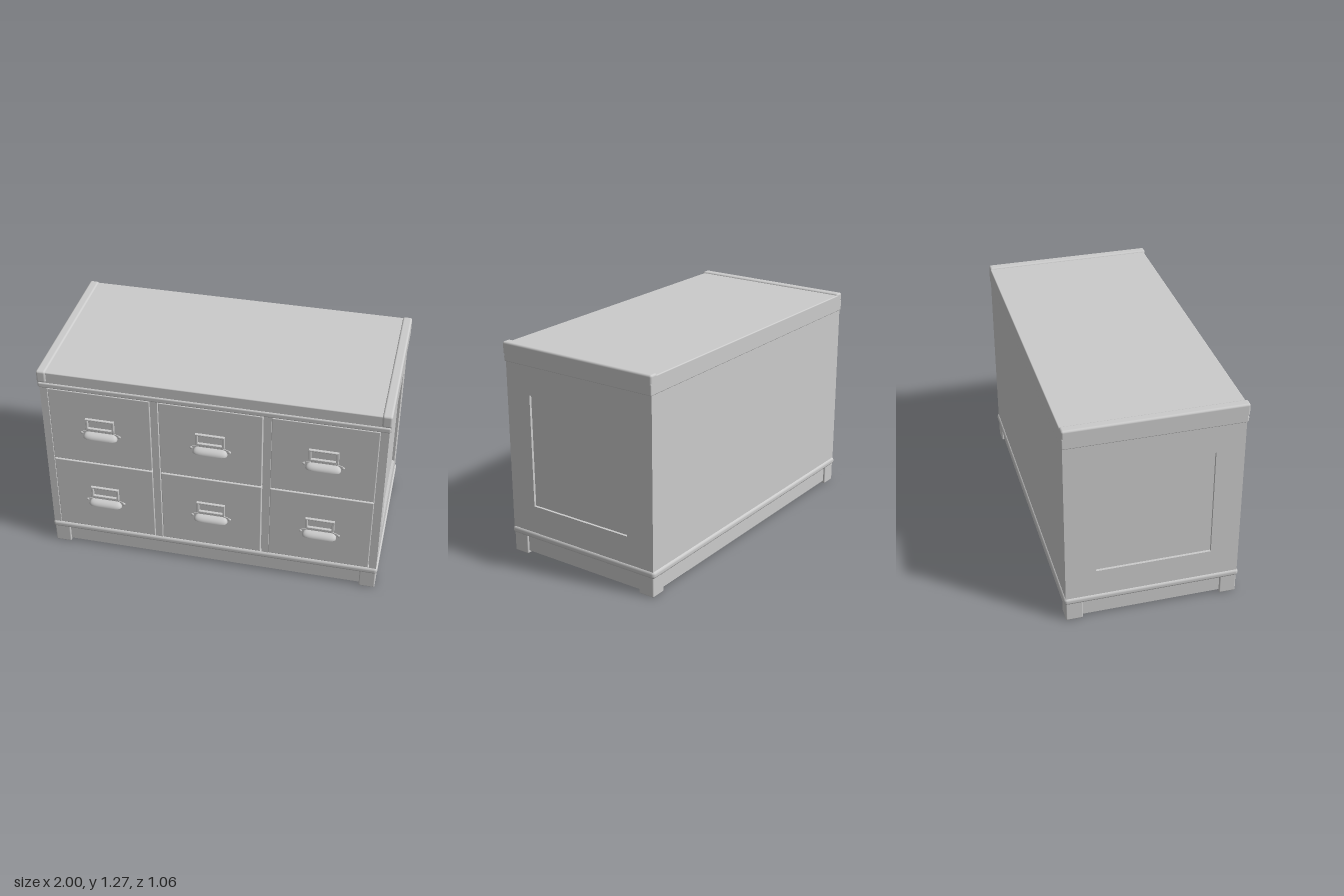
import * as THREE from 'three';
import { RoundedBoxGeometry } from 'three/addons/geometries/RoundedBoxGeometry.js';
import { ParametricGeometry } from 'three/addons/geometries/ParametricGeometry.js';

const grey = new THREE.MeshStandardMaterial({ color: 0xcccccc });
const thin = new THREE.MeshStandardMaterial({ color: 0xcccccc, side: THREE.DoubleSide });

function add(parent, name, geometry, material = grey) {
  const mesh = new THREE.Mesh(geometry, material);
  mesh.name = name;
  parent.add(mesh);
  return mesh;
}

// Box given by its extents, with optional rounded edges
function box(parent, name, [x0, x1], [y0, y1], [z0, z1], r = 0) {
  const size = [x1 - x0, y1 - y0, z1 - z0];
  const geometry = r ? new RoundedBoxGeometry(...size, 3, r) : new THREE.BoxGeometry(...size);
  const mesh = add(parent, name, geometry);
  mesh.position.set((x0 + x1) / 2, (y0 + y1) / 2, (z0 + z1) / 2);
  return mesh;
}

function rectangle(Type, x0, x1, y0, y1) {
  return new Type([[x0, y0], [x1, y0], [x1, y1], [x0, y1]].map(p => new THREE.Vector2(...p)));
}

// Label frame, back plate, cup pull and screws; origin at the middle of the pull's lower edge
function createHandle() {
  const handle = new THREE.Group();
  handle.name = 'handle';

  const half = [[0.085, 0.12], [0.085, 0.055], [0.07, 0.04], [0.105, 0.03], [0.12, 0.022], [0.118, 0.01], [0.1, 0]];
  const outline = [...half, ...half.map(([x, y]) => [-x, y]).reverse()];
  const plate = new THREE.Shape(outline.map(p => new THREE.Vector2(...p)));
  const hole = rectangle(THREE.Path, -0.07, 0.07, 0.062, 0.114);
  plate.holes.push(hole);
  add(handle, 'backPlate', new THREE.ExtrudeGeometry(plate, { depth: 0.004, bevelEnabled: false }));

  const frame = rectangle(THREE.Shape, -0.085, 0.085, 0.047, 0.125);
  frame.holes.push(hole);
  add(handle, 'labelFrame', new THREE.ExtrudeGeometry(frame, {
    depth: 0.011, bevelThickness: 0.004, bevelSize: 0.003, bevelOffset: -0.003, bevelSegments: 2,
  }));

  // Hollow cup, open below, closing against the drawer at its top
  const cup = new ParametricGeometry((u, v, p) => {
    const a = u * Math.PI, b = v * Math.PI / 2;
    const c = Math.cos(a);
    p.set(
      -Math.sign(c) * Math.abs(c) ** 0.5 * (0.07 + 0.03 * Math.cos(b)),
      0.033 * Math.sin(b),
      0.041 * Math.cos(b) * Math.max(0, Math.sin(a)) ** 0.5,
    );
  }, 32, 10);
  add(handle, 'cupPull', cup, thin);

  for (const s of [-1, 1]) {
    const screw = add(handle, 'screw', new THREE.SphereGeometry(0.009, 12, 8));
    screw.position.set(s * 0.111, 0.019, 0.004);
    screw.scale.z = 0.6;
  }
  return handle;
}

export function createModel() {
  const model = new THREE.Group();
  model.name = 'drawerChest';

  // Carcass: the core also forms the recessed side panels and the back
  box(model, 'carcass', [-0.975, 0.975], [0.135, 1.17], [-0.518, 0.46]);
  box(model, 'back', [-0.96, 0.96], [0.15, 1.17], [-0.52, -0.5]);

  // Side frames with a sunken field
  for (const s of [-1, 1]) {
    const side = rectangle(THREE.Shape, -0.483, 0.52, 0.15, 1.165);
    side.holes.push(rectangle(THREE.Path, -0.32, 0.345, 0.32, 0.99));
    const mesh = add(model, 'sideFrame', new THREE.ExtrudeGeometry(side, { depth: 0.043, bevelEnabled: false }));
    mesh.rotation.y = Math.PI / 2;
    mesh.position.x = s > 0 ? 0.947 : -0.99;
  }

  // Dividers between the drawer columns
  for (const x of [-0.325, 0.325])
    box(model, 'divider', [x - 0.021, x + 0.021], [0.15, 1.165], [0.44, 0.483]);

  // Drawers with their handles
  for (const x of [-0.645, 0, 0.645]) {
    for (const y of [0.16, 0.663]) {
      const drawer = new THREE.Group();
      drawer.name = 'drawer';
      box(drawer, 'drawerFront', [x - 0.297, x + 0.297], [y, y + 0.495], [0.43, 0.489], 0.004);
      const handle = createHandle();
      handle.position.set(x, y + 0.198, 0.489);
      drawer.add(handle);
      model.add(drawer);
    }
  }

  // Top board, front lip and raised end caps
  box(model, 'topBoard', [-0.96, 0.96], [1.16, 1.263], [-0.525, 0.486], 0.006);
  box(model, 'frontLip', [-0.997, 0.997], [1.16, 1.195], [0.43, 0.493], 0.01);
  for (const s of [-1, 1]) {
    const x = [s * 0.945, s].sort((a, b) => a - b);
    box(model, 'endCap', x, [1.197, 1.272], [-0.525, 0.495], 0.012);
    box(model, 'endCapLower', x, [1.16, 1.225], [-0.525, 0.486], 0.006);
  }

  // Rounded base moulding, open in the middle
  for (const s of [-1, 1]) {
    const x = [s * 0.92, s * 0.998].sort((a, b) => a - b);
    box(model, 'sideMoulding', x, [0.113, 0.157], [-0.53, 0.492], 0.018);
  }
  for (const z of [[-0.53, -0.45], [0.412, 0.492]])
    box(model, 'crossMoulding', [-0.998, 0.998], [0.113, 0.157], z, 0.018);

  // Feet and the skirt boards between them
  for (const s of [-1, 1]) {
    const x = [s * 0.895, s * 0.99].sort((a, b) => a - b);
    for (const z of [[-0.52, -0.422], [0.385, 0.482]])
      box(model, 'foot', x, [0, 0.125], z, 0.007);
    const skirtX = [s * 0.945, s * 0.978].sort((a, b) => a - b);
    box(model, 'sideSkirt', skirtX, [0.018, 0.125], [-0.45, 0.41]);
  }
  for (const z of [[-0.508, -0.475], [0.437, 0.47]])
    box(model, 'crossSkirt', [-0.92, 0.92], [0.018, 0.125], z);

  return model;
}
